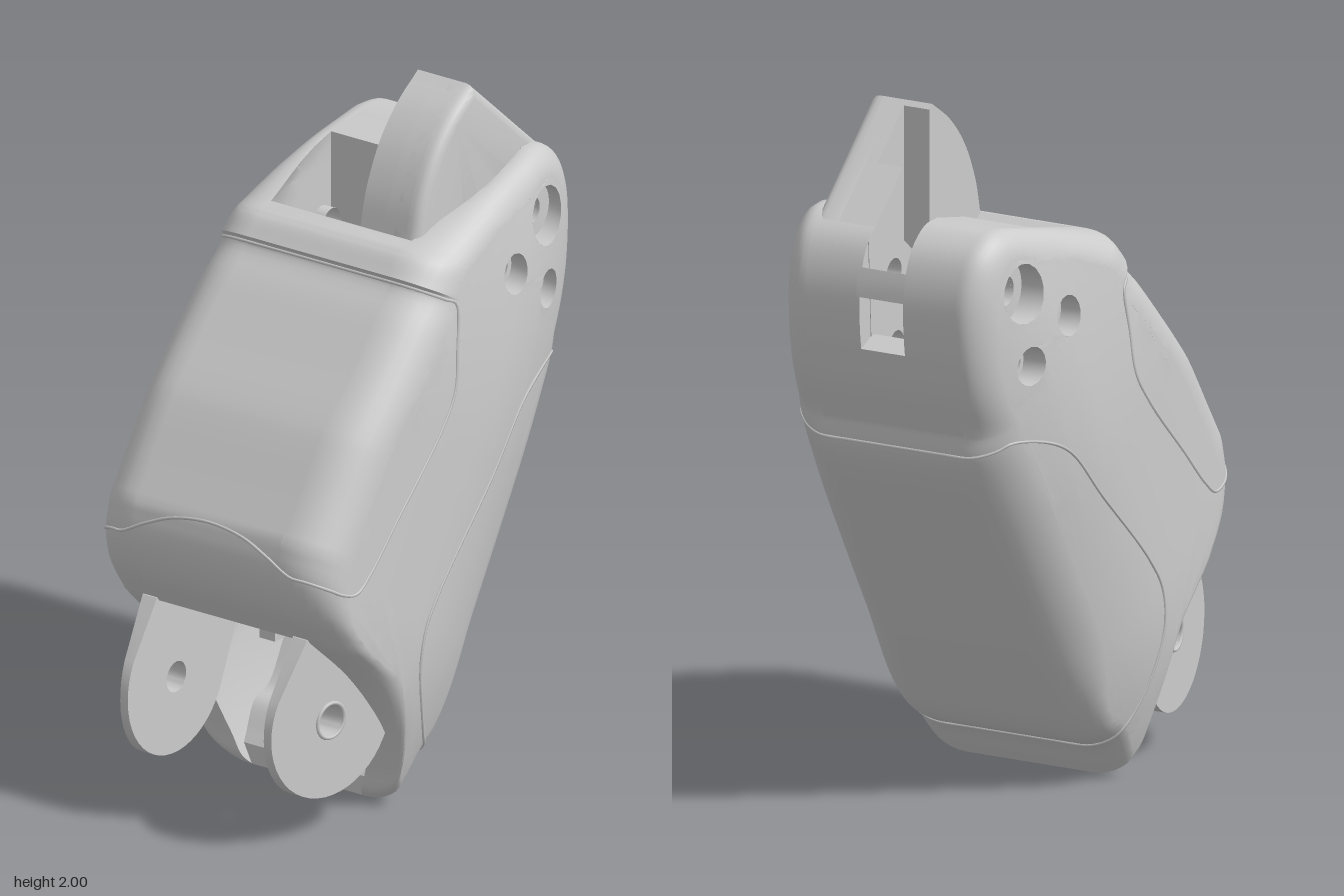
import * as THREE from 'three';
import { mergeVertices, toCreasedNormals } from 'three/addons/utils/BufferGeometryUtils.js';

const grey = new THREE.MeshStandardMaterial({ color: 0xcccccc, side: THREE.DoubleSide });
const lerp = THREE.MathUtils.lerp, step = THREE.MathUtils.smoothstep;
const V2 = (p) => new THREE.Vector2(p[0], p[1]);

// Side profile as [z, y], split into stretches
const smooth = (pts, n) => new THREE.CatmullRomCurve3(pts.map(([z, y]) => new THREE.Vector3(z, y, 0)))
  .getPoints(n).map((p) => [p.x, p.y]);
const back = smooth([[0.16, 0], [0.135, 0.03], [0.075, 0.1], [0, 0.14], [-0.12, 0.3], [-0.3, 0.58], [-0.45, 0.83], [-0.585, 1.08], [-0.59, 1.16]], 48);
const shoulder = smooth([[-0.59, 1.16], [-0.64, 1.3], [-0.668, 1.48], [-0.66, 1.6], [-0.62, 1.69], [-0.55, 1.74], [-0.48, 1.745]], 24);
const roof = smooth([[-0.48, 1.745], [-0.25, 1.69], [0, 1.62], [0.06, 1.6], [0.11, 1.55]], 24);
const front = smooth([[0.11, 1.55], [0.1, 1.53], [0.18, 1.45], [0.3, 1.325], [0.42, 1.2], [0.455, 1.155], [0.54, 1.03], [0.615, 0.92]], 35);
const hood = smooth([[0.615, 0.92], [0.63, 0.83], [0.6, 0.71], [0.53, 0.6]], 12);
const mouth = smooth([[0.53, 0.6], [0.38, 0.45], [0.26, 0.27], [0.2, 0.1], [0.185, 0.03], [0.16, 0]], 26);
const outline = [back, shoulder, roof, front, hood, mouth].flatMap((c) => c.slice(0, -1));

// Half width of the body at a profile point: it tapers to the back and both ends
const along = ([z, y]) => -0.5 * z + 0.866 * y;
const across = ([z, y]) => 0.866 * z + 0.5 * y;
const halfWidth = (p) => {
  const s = along(p), v = across(p);
  const sq = (t) => Math.max(0, t) ** 2;
  return 0.42 - 0.12 * sq((0.45 - v) / 0.45) - 0.02 * sq((v - 0.45) / 0.5)
    - 0.09 * sq((s - 0.9) / 0.85) - 0.06 * sq((0.4 - s) / 0.48);
};
// Fillet size within the profile plane and across x, both larger along the front
const frontness = (p) => step(across(p), 0.55, 0.9);
const filletDepth = (p) => {
  const s = along(p);
  const d = lerp(lerp(0.07, 0.13, step(s, 0.2, 0.5)), 0.08, step(s, 1.1, 1.4));
  return lerp(d, 0.13, frontness(p));
};
const filletDrop = (p) => lerp(lerp(0.1, 0.055, step(along(p), 1.1, 1.5)), 0.135, frontness(p));
const innerX = (p) => Math.min(0.285, halfWidth(p) - filletDrop(p) - 0.012);

// Move a profile point inwards, towards the spine of the body
const spine = new THREE.Line3(new THREE.Vector3(0.2, 0.5, 0), new THREE.Vector3(-0.4, 1.5, 0));
const inset = (p, d) => {
  const a = new THREE.Vector3(p[0], p[1], 0);
  const c = spine.closestPointToPoint(a, true, new THREE.Vector3());
  a.add(c.sub(a).setLength(d));
  return [a.x, a.y];
};
// Point on the rounded edge: angle 0 at the rim, PI / 2 on the side face
const edgePoint = (p, a) => {
  const q = inset(p, filletDepth(p) * (1 - Math.cos(a)));
  return [halfWidth(q) - filletDrop(p) * (1 - Math.sin(a)), q[1], q[0]];
};

// Screw holes: z, y, outer and inner radius
const screws = [[-0.48, 1.565, 0.085, 0.042], [-0.29, 1.46, 0.058, 0.04], [-0.465, 1.355, 0.056, 0.04]];
const shapeOf = (pts, holes = [], k = 3) => {
  const shape = new THREE.Shape(pts.map(V2));
  for (const h of holes) shape.holes.push(new THREE.Path().absarc(h[0], h[1], h[k], 0, Math.PI * 2, true));
  return shape;
};

// Triangulated profile, split finely, with x given by a rule
function sheet(out, shape, xOf, flip) {
  const g = new THREE.ShapeGeometry(shape, 8), pos = g.attributes.position;
  const split = (a, b, c) => {
    const d = [[a, b, c], [b, c, a], [c, a, b]]
      .sort((m, n) => Math.hypot(n[0][0] - n[1][0], n[0][1] - n[1][1]) - Math.hypot(m[0][0] - m[1][0], m[0][1] - m[1][1]))[0];
    const [p, q, r] = d;
    if (Math.hypot(p[0] - q[0], p[1] - q[1]) > 0.075) {
      const m = [(p[0] + q[0]) / 2, (p[1] + q[1]) / 2];
      split(p, m, r);
      split(m, q, r);
    } else for (const t of flip ? [p, r, q] : d) out.push(xOf(t), t[1], t[0]);
  };
  for (let i = 0; i < g.index.count; i += 3) {
    split(...[0, 1, 2].map((k) => { const j = g.index.getX(i + k); return [pos.getX(j), pos.getY(j)]; }));
  }
}

// One side wall: inner face, rim, rounded edge and outer face
function sideWall() {
  const out = [], steps = 7;
  const rings = [outline.map((p) => [innerX(p), p[1], p[0]])];
  for (let k = 0; k <= steps; k++) rings.push(outline.map((p) => edgePoint(p, (k / steps) * Math.PI / 2)));
  for (let k = 0; k < rings.length - 1; k++) {
    const A = rings[k], B = rings[k + 1], n = A.length;
    for (let i = 0; i < n; i++) {
      const j = (i + 1) % n;
      out.push(...A[i], ...A[j], ...B[i], ...A[j], ...B[j], ...B[i]);
    }
  }
  sheet(out, shapeOf(outline.map((p) => inset(p, filletDepth(p))), screws, 2), halfWidth, true);
  sheet(out, shapeOf(outline, screws, 3), innerX, false);
  const g = new THREE.BufferGeometry();
  g.setAttribute('position', new THREE.Float32BufferAttribute(out, 3));
  return toCreasedNormals(mergeVertices(g, 1e-4), 0.6);
}

// Change the x of every corner by a rule of x, y, z
function bendX(g, rule) {
  const pos = g.attributes.position;
  for (let i = 0; i < pos.count; i++) pos.setX(i, rule(pos.getX(i), pos.getY(i), pos.getZ(i)));
  return toCreasedNormals(g, 0.6);
}
// Profile shape extruded across x
function slab(shape, x0, x1, bevel = 0) {
  const g = new THREE.ExtrudeGeometry(shape, {
    depth: x1 - x0 - 2 * bevel, curveSegments: 16, bevelEnabled: bevel > 0,
    bevelThickness: bevel, bevelSize: bevel, bevelOffset: -bevel, bevelSegments: 4,
  });
  return toCreasedNormals(g.rotateY(-Math.PI / 2).translate(x1 - bevel, 0, 0), 0.6);
}
// Wall along a stretch of the profile; ends at +-1 follow the side walls
function strip(pts, thick, x0 = -1, x1 = 1) {
  const g = slab(shapeOf([...pts, ...pts.map((p) => inset(p, thick)).reverse()]), x0, x1);
  return bendX(g, (x, y, z) => (Math.abs(x) > 0.99 ? Math.sign(x) * innerX([z, y]) : x));
}
// Recessed seat of a screw, its rim following the side face
function screwSeat([z, y, ro, ri]) {
  const w = halfWidth([z, y]);
  const prof = [[ri, 0.25], [ri, w - 0.06], [ro, w - 0.06], [ro, w]].map(V2);
  const g = new THREE.LatheGeometry(prof, 28).rotateZ(-Math.PI / 2).translate(0, y, z);
  return bendX(g, (px, py, pz) => (px > w - 0.01 ? halfWidth([pz, py]) : px));
}

export function createModel() {
  const model = new THREE.Group();
  const add = (name, geometry, parent = model) => {
    const m = new THREE.Mesh(geometry, grey);
    m.name = name;
    parent.add(m);
  };

  // Mirrored side walls, screw seats and wedge-shaped hinge lugs
  const wall = sideWall();
  const lug = [[0.54, 0.61], [0.25, 0.72], [0.14, 0.5], [0.25, 0.24]];
  for (let i = 0; i <= 24; i++) {
    const a = lerp(-2.65, 0.5, i / 24);
    lug.push([0.45 + 0.225 * Math.cos(a), 0.345 + 0.225 * Math.sin(a)]);
  }
  const lugOuter = (z) => 0.262 + 0.17 * (0.67 - z);
  for (const s of [1, -1]) {
    const side = new THREE.Group();
    side.name = s > 0 ? 'leftSide' : 'rightSide';
    side.scale.x = s;
    model.add(side);
    add('sideWall', wall, side);
    for (const screw of screws) add('screwSeat', screwSeat(screw), side);
    add('hingeLug', bendX(slab(shapeOf(lug, [[0.45, 0.345, 0, 0.045]]), 0.235, 0.3),
      (x, y, z) => (x > 0.27 ? lugOuter(z) : x)), side);
    add('lugWasher', new THREE.TorusGeometry(0.051, 0.006, 6, 28).rotateY(Math.atan2(1, 0.17))
      .translate(lugOuter(0.45), 0.345, 0.45), side);
  }

  // Walls joining the two sides
  add('backWall', strip(back, 0.06));
  add('frontWall', strip([...front, ...hood.slice(1)], 0.06));
  add('roofBar', strip(roof.filter((p) => p[0] > -0.02), 0.08));
  add('lowerShoulder', strip(shoulder.filter((p) => p[1] < 1.4), 0.07));
  add('slotBridge', strip(shoulder.filter((p) => p[1] > 1.52 && p[1] < 1.63), 0.07, -0.075, 0.075));
  const upper = shoulder.filter((p) => p[1] > 1.36);
  add('shoulderLeft', strip(upper, 0.07, 0.065, 1));
  add('shoulderRight', strip(upper, 0.07, -1, -0.075));

  // Right inner block below the closed part of the roof
  const roofBack = roof.filter((p) => p[0] < -0.33);
  const block = [[-0.33, 1.22], [-0.58, 1.22], ...shoulder.filter((p) => p[1] > 1.3), ...roofBack.slice(1), [-0.33, 1.71]];
  add('rightBlock', bendX(slab(shapeOf(block, [screws[0], screws[2]]), -1, -0.075),
    (x, y, z) => (x < -0.99 ? -innerX([z, y]) : x)));

  // Raised fin, notched on its inner half
  const finLow = [[-0.62, 1.69], [-0.6, 1.3], [-0.56, 1.12], [0, 1.2]];
  const finCurve = smooth([[0, 1.6], [-0.03, 1.72], [-0.09, 1.84], [-0.17, 1.93], [-0.27, 2]], 20);
  const notch = [[-0.285, 1.987], [-0.285, 1.53], [-0.43, 1.65], [-0.43, 1.858]];
  add('finInnerHalf', slab(shapeOf([...finLow, ...finCurve, ...notch], screws), 0.063, 0.145));
  add('finCore', slab(shapeOf([...finLow, ...finCurve], screws), 0.145, 0.22));
  add('finOuterFace', slab(shapeOf([...finLow, ...finCurve], screws), 0.15, 0.26, 0.03));

  // Inner bulkhead, with the hollow behind it, and small stops seen through the mouth
  add('bulkhead', slab(shapeOf([[0.5, 0.66], [0.05, 0.45], [-0.11, 0.45], [-0.11, 1.25], [0.08, 1.28], [0.4, 1.1]]), -0.255, 0.255));
  add('bulkheadTab', new THREE.BoxGeometry(0.055, 0.12, 0.1).translate(-0.1, 0.47, 0.16));
  add('trayStop', new THREE.BoxGeometry(0.16, 0.08, 0.11).translate(-0.01, 0.32, -0.02));

  // Panel seams: across the middle, around the rounded edge, along the side
  const seam = (name, start, sidePts, end) => {
    const half = [...start, ...sidePts.map(([z, y]) => [halfWidth([z, y]), y, z]), ...end];
    const loop = [...half, ...half.slice(1, -1).reverse().map(([x, y, z]) => [-x, y, z])];
    const curve = new THREE.CatmullRomCurve3(loop.map((p) => new THREE.Vector3(...p)), true);
    add(name, new THREE.TubeGeometry(curve, 300, 0.005, 5, true));
  };
  const around = (p, angles) => angles.map((a) => edgePoint(p, a));
  seam('frontPanelSeam',
    [[0, 0.92, 0.615], [0.12, 0.905, 0.619], [0.21, 0.87, 0.627], ...around([0.63, 0.83], [0.2, 0.5, 0.8, 1.1, 1.4])],
    [[0.48, 0.76], [0.42, 0.8], [0.3, 0.92], [0.1, 1.12], [0.03, 1.22], [0.01, 1.34]],
    [...around([0.1, 1.53], [1.5, 1.2, 0.9, 0.6, 0.3, 0.1]), [0.15, 1.53, 0.1], [0, 1.53, 0.1]]);
  seam('backPanelSeam',
    [[0, 1.1, -0.588], [0.15, 1.1, -0.588], ...around([-0.588, 1.1], [0.1, 0.4, 0.7, 1, 1.3])],
    [[-0.4, 1.12], [-0.3, 1.07], [-0.15, 0.91], [0.1, 0.66], [0.17, 0.56], [0.19, 0.45], [0.16, 0.32], [0.11, 0.21]],
    [...around([0.06, 0.108], [1.4, 1, 0.6, 0.2]), [0.12, 0.108, 0.06], [0, 0.108, 0.06]]);
  return model;
}
